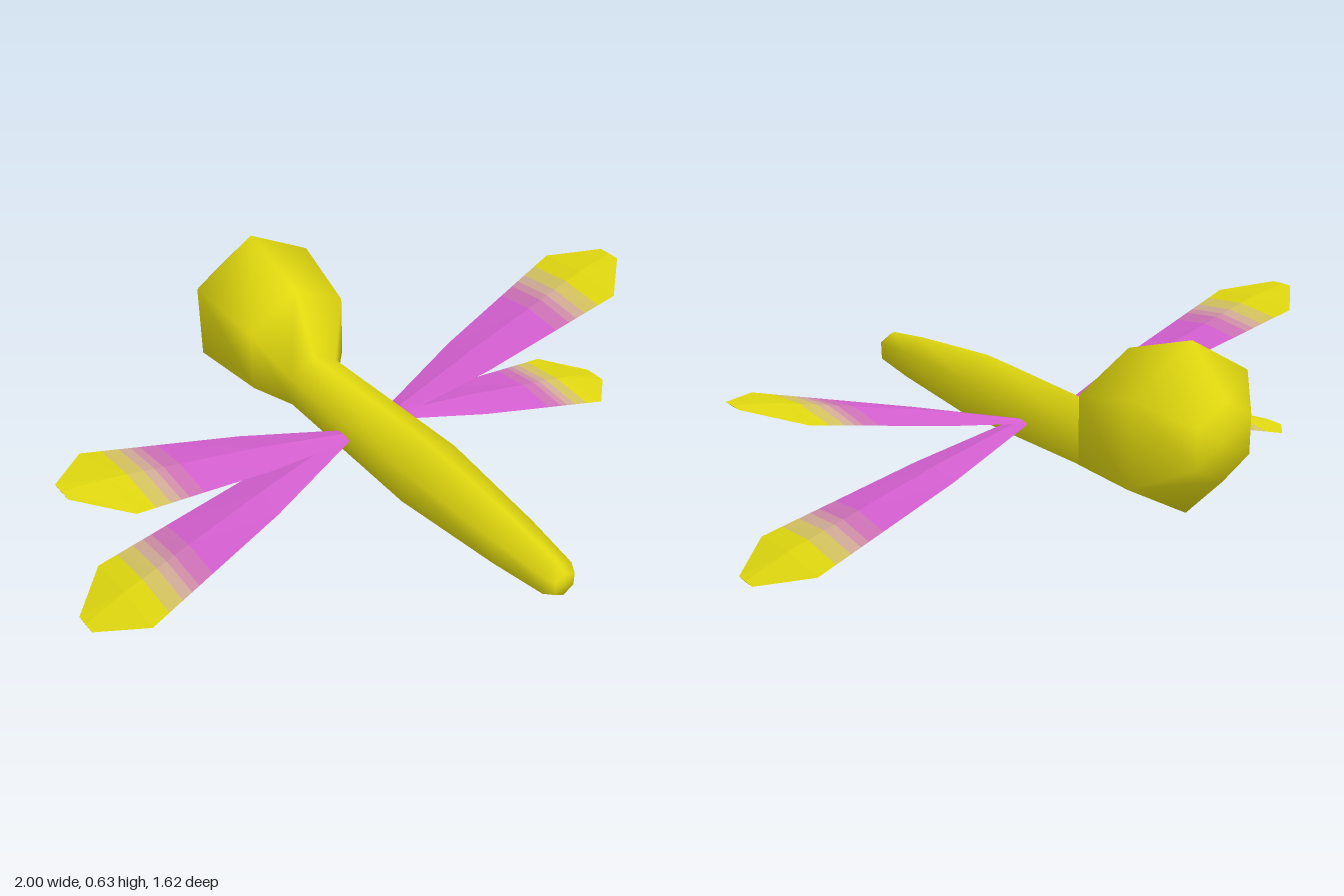
import * as THREE from 'three';

const mat = (name, color) => {
  const m = new THREE.MeshStandardMaterial({ color });
  m.name = name;
  return m;
};

// Skin a list of rings (arrays of Vector3, anticlockwise seen from the far end).
function loft(rings, capStart, capEnd) {
  const n = rings[0].length, pts = rings.flat(), index = [];
  for (let r = 0; r < rings.length - 1; r++) {
    for (let i = 0; i < n; i++) {
      const a = r * n + i, b = r * n + (i + 1) % n;
      index.push(a, b, b + n, a, b + n, a + n);
    }
  }
  const cap = (r, flip) => {
    const centre = new THREE.Vector3();
    rings[r].forEach((p) => centre.addScaledVector(p, 1 / n));
    const c = pts.push(centre) - 1;
    for (let i = 0; i < n; i++) {
      const a = r * n + i, b = r * n + (i + 1) % n;
      index.push(c, flip ? b : a, flip ? a : b);
    }
  };
  if (capStart) cap(0, true);
  if (capEnd) cap(rings.length - 1, false);
  const g = new THREE.BufferGeometry().setFromPoints(pts);
  g.setIndex(index);
  g.computeVertexNormals();
  return g;
}

// Six-sided ring with a corner at the top
function hexRing([z, y, radius]) {
  return Array.from({ length: 6 }, (_, i) => {
    const a = Math.PI / 2 + (i * Math.PI) / 3;
    return new THREE.Vector3(Math.cos(a) * radius, y + Math.sin(a) * radius, z);
  });
}

// Wing outline: x, half width, half thickness
const STATIONS = [[0.05, 0.022, 0.005], [0.4, 0.0975, 0.018], [0.87, 0.158, 0.015], [1, 0.038, 0.001]];

// Diamond ring of a wing at x, along a sloping centre line
function wingRing(x, rootY, tipY) {
  let s = 0;
  while (s < STATIONS.length - 2 && x > STATIONS[s + 1][0]) s++;
  const [p, q] = [STATIONS[s], STATIONS[s + 1]];
  const t = (x - p[0]) / (q[0] - p[0]);
  const w = THREE.MathUtils.lerp(p[1], q[1], t), h = THREE.MathUtils.lerp(p[2], q[2], t);
  const y = rootY + (tipY - rootY) * (x - 0.1) / 0.9;
  return [[h, 0], [0, w], [-h, 0], [0, -w]].map(([dy, z]) => new THREE.Vector3(x, y + dy, z));
}

export function createModel() {
  const model = new THREE.Group();
  model.name = 'dragonfly';
  const yellow = mat('yellow', 0xe0d80f);
  const magenta = mat('magenta', 0xd45fd0);
  const rose = mat('rose', 0xcf72b8);
  const dustyPink = mat('dustyPink', 0xd08fa8);
  const sand = mat('sand', 0xd2ac98);
  const straw = mat('straw', 0xd6c460);

  // Head and tapering body in one smooth skin: z, centre height, radius
  const sections = [
    [-0.81, 0.39, 0.11], [-0.68, 0.389, 0.242], [-0.435, 0.35, 0.2], [-0.35, 0.246, 0.1],
    [0.23, 0.249, 0.113], [0.6, 0.248, 0.081], [0.78, 0.247, 0.058], [0.81, 0.247, 0.04],
  ];
  const body = new THREE.Mesh(loft(sections.map(hexRing), true, true), yellow);
  body.name = 'headAndBody';
  model.add(body);

  // Bands along each wing, from root to tip
  const bands = [
    ['wingBlade', magenta, [0.05, 0.4, 0.65]],
    ['wingRoseBand', rose, [0.65, 0.7]],
    ['wingPinkBand', dustyPink, [0.7, 0.727]],
    ['wingSandBand', sand, [0.727, 0.76]],
    ['wingStrawBand', straw, [0.76, 0.81]],
    ['wingTip', yellow, [0.81, 0.87, 1]],
  ];

  // Two pairs of wings, the right ones turned half round
  for (const [level, rootY, tipY] of [['upper', 0.252, 0.494], ['lower', 0.244, 0.002]]) {
    for (const side of ['Left', 'Right']) {
      const wing = new THREE.Group();
      wing.name = `${level}${side}Wing`;
      wing.position.z = -0.066;
      if (side === 'Right') wing.rotation.y = Math.PI;
      for (const [name, material, xs] of bands) {
        const rings = xs.map((x) => wingRing(x, rootY, tipY));
        const geo = loft(rings, name === 'wingBlade', name === 'wingTip').toNonIndexed();
        geo.computeVertexNormals(); // faceted
        const mesh = new THREE.Mesh(geo, material);
        mesh.name = name;
        wing.add(mesh);
      }
      model.add(wing);
    }
  }
  return model;
}
